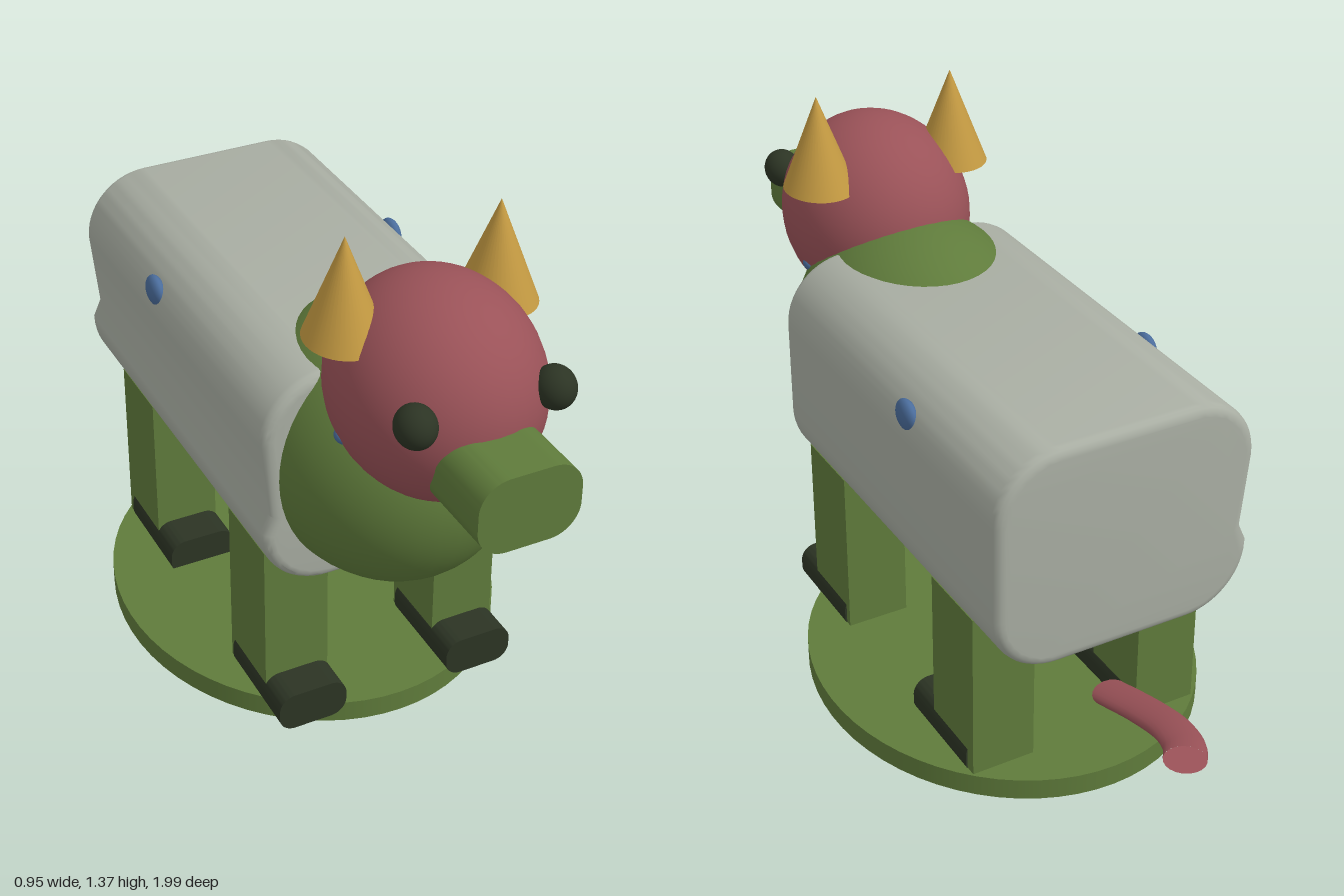
import * as THREE from 'three';
import { toCreasedNormals } from 'three/addons/utils/BufferGeometryUtils.js';

const mat = (name, color) => {
  const m = new THREE.MeshStandardMaterial({ color });
  m.name = name;
  return m;
};

export function createModel() {
  const green = mat('green', 0x5f7b3b);
  const red = mat('dusty red', 0x9a5258);
  const grey = mat('pale grey', 0xa9aea3);
  const gold = mat('gold', 0xc49a42);
  const dark = mat('dark green', 0x2c3424);
  const blue = mat('blue', 0x4a6c9b);

  const model = new THREE.Group();
  model.name = 'hornedAnimal';

  const add = (name, geometry, material, x = 0, y = 0, z = 0) => {
    const mesh = new THREE.Mesh(geometry, material);
    mesh.name = name;
    mesh.position.set(x, y, z);
    model.add(mesh);
    return mesh;
  };
  const ellipsoid = (name, material, x, y, z, rx, ry, rz) =>
    add(name, new THREE.SphereGeometry(1, 40, 28), material, x, y, z).scale.set(rx, ry, rz);

  // Bar along z with a rounded cross-section, centred on the origin
  const roundedBar = (w, h, d, r) => {
    const s = new THREE.Shape();
    const x = w / 2 - r, y = h / 2 - r;
    s.absarc(x, y, r, 0, Math.PI / 2);
    s.absarc(-x, y, r, Math.PI / 2, Math.PI);
    s.absarc(-x, -y, r, Math.PI, Math.PI * 1.5);
    s.absarc(x, -y, r, Math.PI * 1.5, Math.PI * 2);
    const g = new THREE.ExtrudeGeometry(s, { depth: d, bevelEnabled: false, curveSegments: 8 });
    g.translate(0, 0, -d / 2);
    return toCreasedNormals(g, 0.6);
  };

  // Oval base
  add('base', new THREE.CylinderGeometry(1, 1, 0.055, 64), green, 0, 0.0275, -0.045).scale.set(0.475, 1, 0.55);

  // Barrel body with a fold low on its right side
  const section = new THREE.Shape();
  section.moveTo(-0.17, 0.455);
  section.lineTo(0.17, 0.455);
  section.bezierCurveTo(0.245, 0.455, 0.305, 0.515, 0.305, 0.59);
  section.lineTo(0.305, 0.83);
  section.bezierCurveTo(0.305, 0.905, 0.245, 0.965, 0.17, 0.965);
  section.lineTo(-0.17, 0.965);
  section.bezierCurveTo(-0.245, 0.965, -0.305, 0.905, -0.305, 0.83);
  section.lineTo(-0.285, 0.635);
  section.lineTo(-0.305, 0.59);
  section.bezierCurveTo(-0.305, 0.515, -0.245, 0.455, -0.17, 0.455);
  const body = new THREE.ExtrudeGeometry(section, {
    depth: 1.015, bevelSize: 0.025, bevelThickness: 0.025, bevelSegments: 4, curveSegments: 14,
  });
  add('body', toCreasedNormals(body, 0.6), grey, 0, 0, -0.585);

  // Chest, head and snout
  ellipsoid('chest', green, 0, 0.737, 0.385, 0.3, 0.327, 0.36);
  ellipsoid('head', red, 0, 1.005, 0.605, 0.232, 0.25, 0.267);
  add('snout', roundedBar(0.24, 0.18, 0.3, 0.07), green, 0, 0.935, 0.85);

  // Paired parts
  for (const [side, s] of [['left', 1], ['right', -1]]) {
    ellipsoid(side + 'Eye', dark, s * 0.162, 1.068, 0.814, 0.045, 0.048, 0.05);
    ellipsoid(side + 'SideSpot', blue, s * 0.315, 0.89, -0.178, 0.02, 0.038, 0.042);
    ellipsoid(side + 'CheekSpot', blue, s * 0.2, 0.908, 0.575, 0.019, 0.017, 0.025);
    add(side + 'Horn', new THREE.ConeGeometry(1, 0.235, 40), gold, s * 0.182, 1.2475, 0.538).scale.set(0.088, 1, 0.1);

    for (const [end, legZ, hoofZ] of [['Front', 0.297, 0.35], ['Back', -0.362, -0.3]]) {
      add(side + end + 'Leg', new THREE.BoxGeometry(0.162, 0.45, 0.195), green, s * 0.224, 0.275, legZ);
      add(side + end + 'Hoof', roundedBar(0.174, 0.1, 0.265, 0.04), dark, s * 0.223, 0.081, hoofZ);
    }
  }

  // Flattened, curling tail with closed ends
  const flat = 0.35;
  const path = new THREE.CatmullRomCurve3([
    [0, 0.252, -0.565], [-0.008, 0.29, -0.7], [0, 0.325, -0.82], [0.025, 0.347, -0.9], [0.058, 0.363, -0.95],
  ].map(([x, y, z]) => new THREE.Vector3(x, y / flat, z)));
  const tail = new THREE.Group();
  tail.name = 'tail';
  tail.scale.y = flat;
  const tube = new THREE.Mesh(new THREE.TubeGeometry(path, 32, 0.048, 20), red);
  tube.name = 'tailTube';
  tail.add(tube);
  for (const t of [0, 1]) {
    const cap = new THREE.Mesh(new THREE.CircleGeometry(0.048, 20), red);
    cap.name = t ? 'tailTip' : 'tailRoot';
    const out = path.getTangentAt(t).multiplyScalar(t ? 1 : -1);
    cap.quaternion.setFromUnitVectors(new THREE.Vector3(0, 0, 1), out);
    cap.position.copy(path.getPointAt(t));
    tail.add(cap);
  }
  model.add(tail);

  return model;
}
